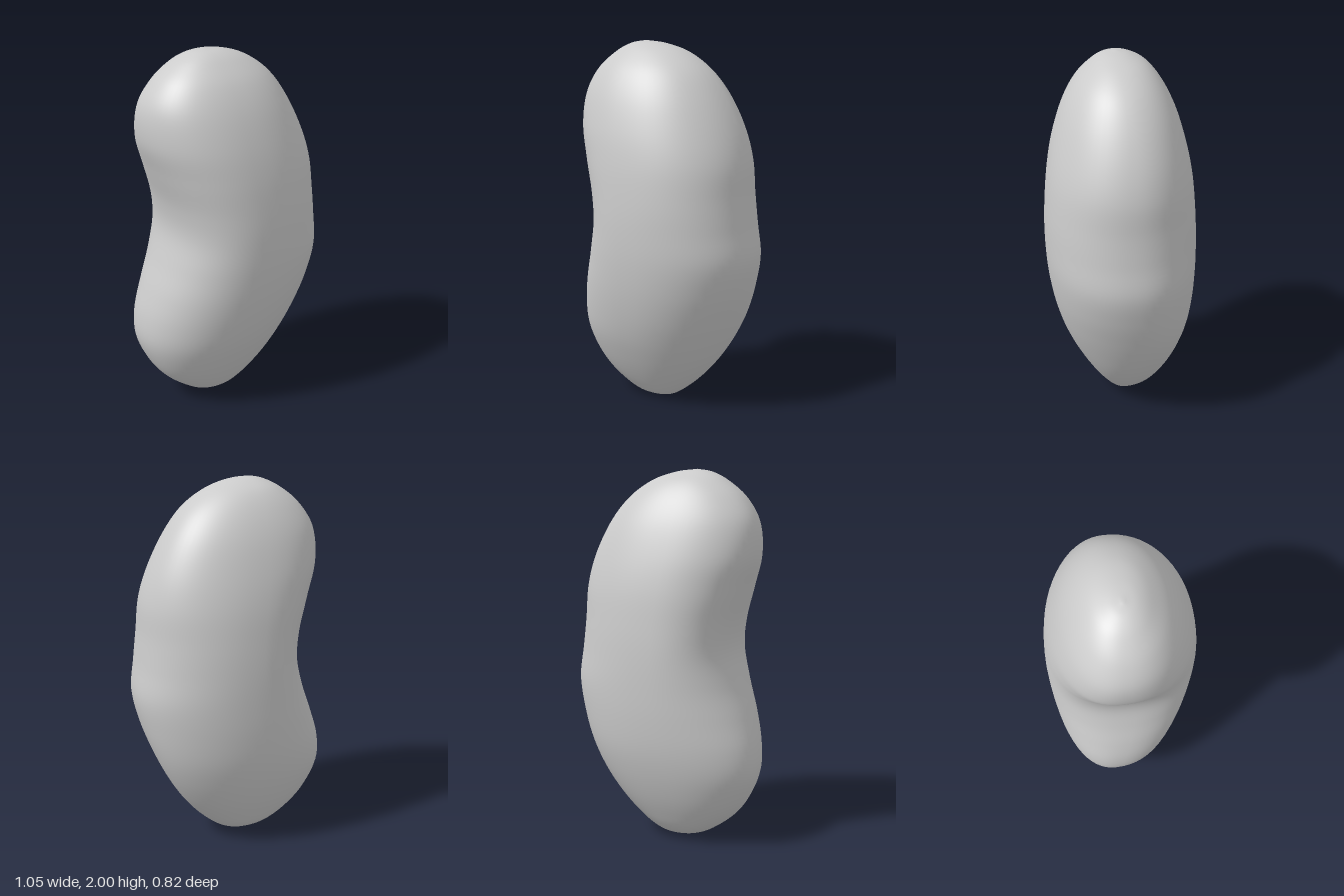
import * as THREE from 'three';

// Cross-sections from top to bottom: [y, xLow, xHigh, xMid, zFront, zBack, zMid]
const SECTIONS = [
  [2.0, -0.14, -0.14, -0.14, 0, 0, 0],
  [1.985, -0.22, -0.02, -0.13, 0.075, -0.075, 0],
  [1.94, -0.31, 0.11, -0.11, 0.145, -0.16, -0.01],
  [1.85, -0.415, 0.235, -0.09, 0.23, -0.235, -0.02],
  [1.72, -0.487, 0.335, -0.07, 0.3, -0.3, -0.035],
  [1.55, -0.492, 0.42, -0.05, 0.355, -0.352, -0.035],
  [1.38, -0.44, 0.47, -0.02, 0.388, -0.385, -0.02],
  [1.2, -0.385, 0.485, 0, 0.405, -0.402, -0.01],
  [1.04, -0.372, 0.503, 0, 0.41, -0.41, -0.01],
  [0.87, -0.415, 0.523, 0, 0.403, -0.41, -0.02],
  [0.7, -0.475, 0.49, -0.01, 0.38, -0.403, -0.045],
  [0.54, -0.518, 0.435, -0.03, 0.342, -0.385, -0.075],
  [0.4, -0.522, 0.37, -0.06, 0.293, -0.352, -0.08],
  [0.27, -0.475, 0.292, -0.08, 0.23, -0.305, -0.065],
  [0.16, -0.4, 0.205, -0.09, 0.165, -0.25, -0.05],
  [0.07, -0.29, 0.11, -0.09, 0.1, -0.19, -0.035],
  [0.018, -0.19, 0.03, -0.08, 0.045, -0.115, -0.02],
  [0.0, -0.07, -0.07, -0.07, -0.02, -0.02, -0.02],
];

// Smooth lengthwise rail through one pair of section columns
const rail = (xCol, zCol) => new THREE.CatmullRomCurve3(
  SECTIONS.map((s) => new THREE.Vector3(s[xCol], s[0], s[zCol])), false, 'catmullrom', 0.5);

// Power that swells a quarter ellipse; the hollow side is squarer near mid-height
const swell = (onHollowSide, y) =>
  onHollowSide ? 0.92 - 0.1 * Math.exp(-(((y - 1.15) / 0.35) ** 2)) : 0.94;

function beanGeometry(rings = 100, sides = 64) {
  const low = rail(1, 6), high = rail(2, 6), front = rail(3, 4), back = rail(3, 5);
  const positions = [], index = [];
  const top = SECTIONS[0], bottom = SECTIONS[SECTIONS.length - 1];

  // Each ring joins four swollen quarter ellipses that meet on the rails
  positions.push(top[3], top[0], top[6]);
  for (let i = 1; i < rings; i++) {
    const t = i / rings;
    const l = low.getPoint(t), h = high.getPoint(t), f = front.getPoint(t), b = back.getPoint(t);
    for (let j = 0; j < sides; j++) {
      const a = (j / sides) * Math.PI * 2, c = Math.cos(a), s = Math.sin(a);
      const power = swell(c < 0, l.y);
      const u = Math.abs(c) ** power, v = Math.abs(s) ** power;
      positions.push(
        f.x + u * ((c > 0 ? h.x : l.x) - f.x),
        l.y,
        l.z + v * ((s > 0 ? f.z : b.z) - l.z));
    }
  }
  positions.push(bottom[3], bottom[0], bottom[6]);

  // Caps at both poles and quads between the rings
  const last = positions.length / 3 - 1;
  const at = (i, j) => 1 + i * sides + (j % sides);
  for (let j = 0; j < sides; j++) {
    index.push(0, at(0, j + 1), at(0, j));
    for (let i = 0; i < rings - 2; i++) {
      index.push(at(i, j), at(i, j + 1), at(i + 1, j));
      index.push(at(i, j + 1), at(i + 1, j + 1), at(i + 1, j));
    }
    index.push(last, at(rings - 2, j), at(rings - 2, j + 1));
  }

  const geometry = new THREE.BufferGeometry();
  geometry.setAttribute('position', new THREE.Float32BufferAttribute(positions, 3));
  geometry.setIndex(index);
  geometry.computeVertexNormals();
  return geometry;
}

export function createModel() {
  const group = new THREE.Group();
  group.name = 'bean';
  const body = new THREE.Mesh(beanGeometry(), new THREE.MeshStandardMaterial({ color: 0xcccccc }));
  body.name = 'beanBody';
  group.add(body);
  return group;
}
